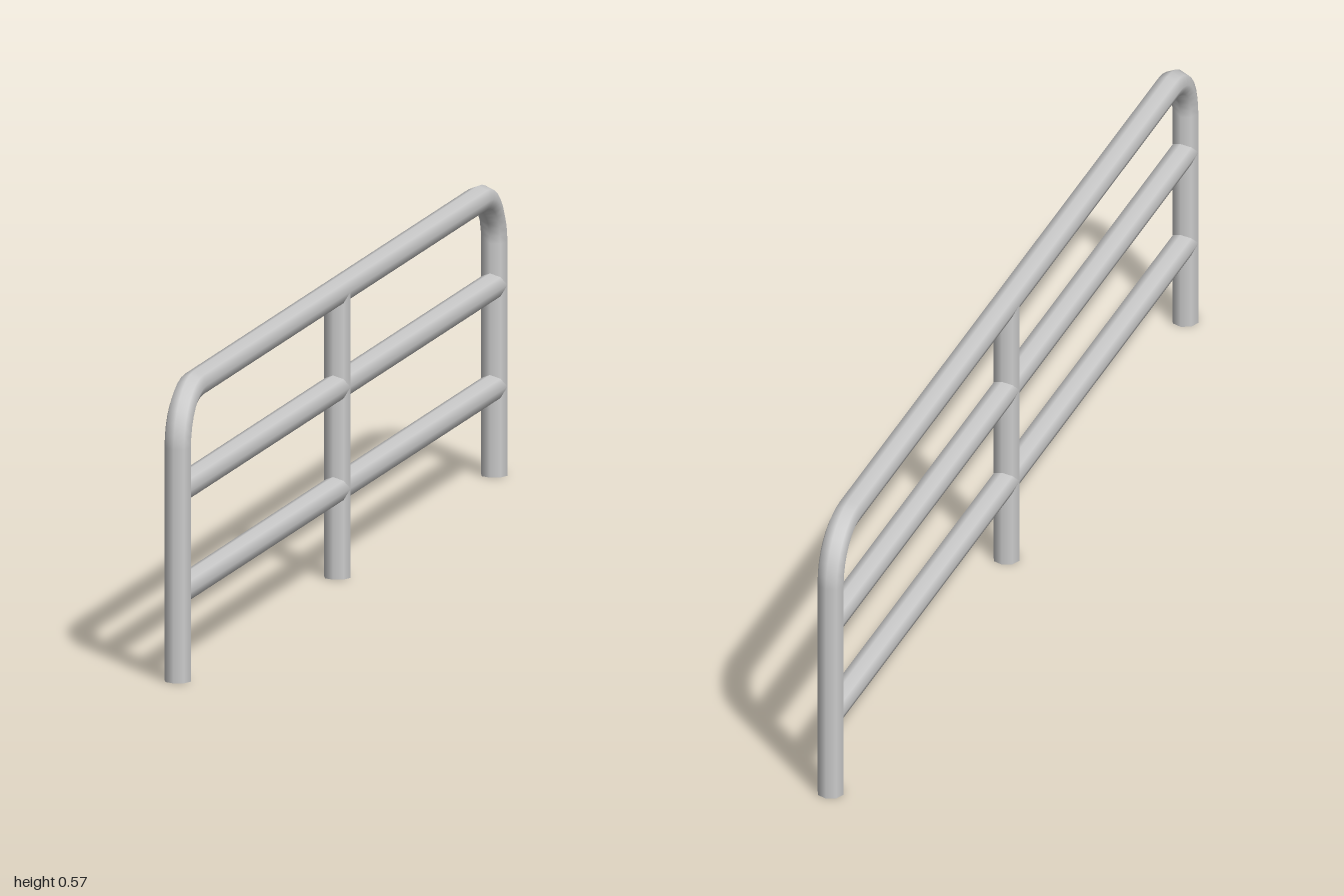
import * as THREE from 'three';

const R = 0.026;      // pipe radius
const SIDES = 8;
const END = 0.974;    // z of the end posts
const TOP = 0.549;    // centre height of the top rail
const BEND = 0.1;     // centreline radius of the corners

export function createModel() {
  const group = new THREE.Group();
  const material = new THREE.MeshStandardMaterial({ color: 0xcccccc, side: THREE.DoubleSide });

  const add = (name, geometry) => {
    const mesh = new THREE.Mesh(geometry, material);
    mesh.name = name;
    group.add(mesh);
    return mesh;
  };
  const post = (name, z, height) =>
    add(name, new THREE.CylinderGeometry(R, R, height, SIDES)).position.set(0, height / 2, z);
  const rail = (name, y, halfLength) => {
    const mesh = add(name, new THREE.CylinderGeometry(R, R, halfLength * 2, SIDES));
    mesh.rotation.x = Math.PI / 2;
    mesh.position.y = y;
  };

  // End posts with the rounded corners that lead into the top rail
  for (const [side, s] of [['front', 1], ['back', -1]]) {
    post(side + 'Post', s * END, TOP - BEND);
    const corner = add(side + 'Corner', new THREE.TorusGeometry(BEND, R, SIDES, 8, Math.PI / 2));
    corner.rotation.y = -s * Math.PI / 2;
    corner.position.set(0, TOP - BEND, s * (END - BEND));
  }

  // Middle post, slightly off centre, reaching into the top rail
  post('middlePost', -0.008, TOP);

  // Horizontal rails
  rail('topRail', TOP, END - BEND);
  rail('upperRail', 0.366, END);
  rail('lowerRail', 0.171, END);

  return group;
}
